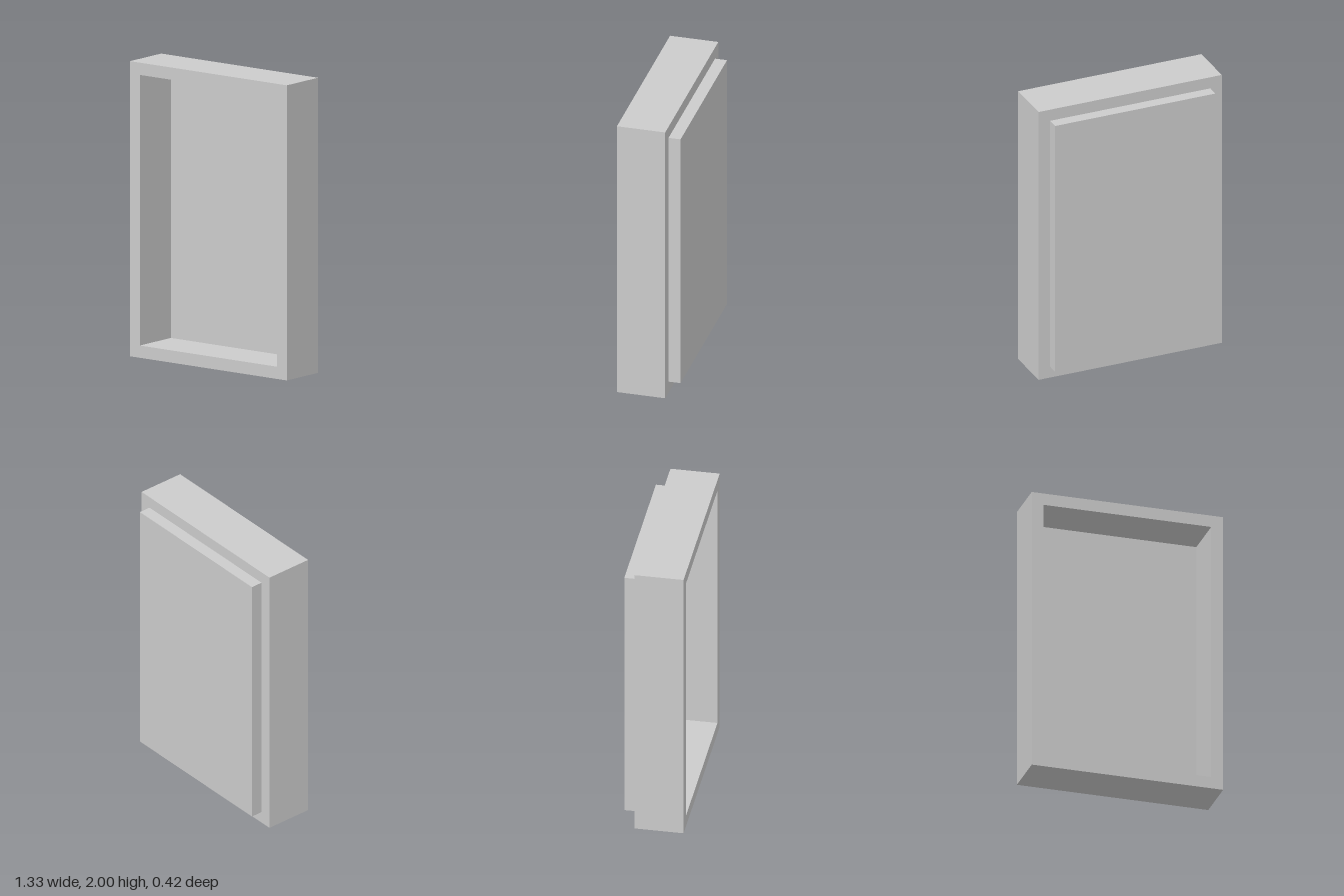
import * as THREE from 'three';

const W = 1.333, H = 2, BORDER = 0.083;
const FRONT = 0.208, SEAM = -0.125, BACK = -0.208;

export function createModel() {
  const group = new THREE.Group();
  const material = new THREE.MeshStandardMaterial({ color: 0xcccccc });
  const innerW = W - 2 * BORDER, innerH = H - 2 * BORDER;

  // Rectangle centred on the origin, added as lines to a shape or hole
  const rectangle = (path, w, h) => {
    path.moveTo(-w / 2, -h / 2);
    path.lineTo(w / 2, -h / 2);
    path.lineTo(w / 2, h / 2);
    path.lineTo(-w / 2, h / 2);
    path.closePath();
    return path;
  };

  // Deep rectangular frame, open through the middle
  const outline = rectangle(new THREE.Shape(), W, H);
  outline.holes.push(rectangle(new THREE.Path(), innerW, innerH));
  const frame = new THREE.Mesh(
    new THREE.ExtrudeGeometry(outline, { depth: FRONT - SEAM, bevelEnabled: false }),
    material
  );
  frame.name = 'frame';
  frame.position.set(0, H / 2, SEAM);

  // Panel closing the opening and standing proud of the back
  const panel = new THREE.Mesh(new THREE.BoxGeometry(innerW, innerH, SEAM - BACK), material);
  panel.name = 'backPanel';
  panel.position.set(0, H / 2, (SEAM + BACK) / 2);

  group.add(frame, panel);
  return group;
}
